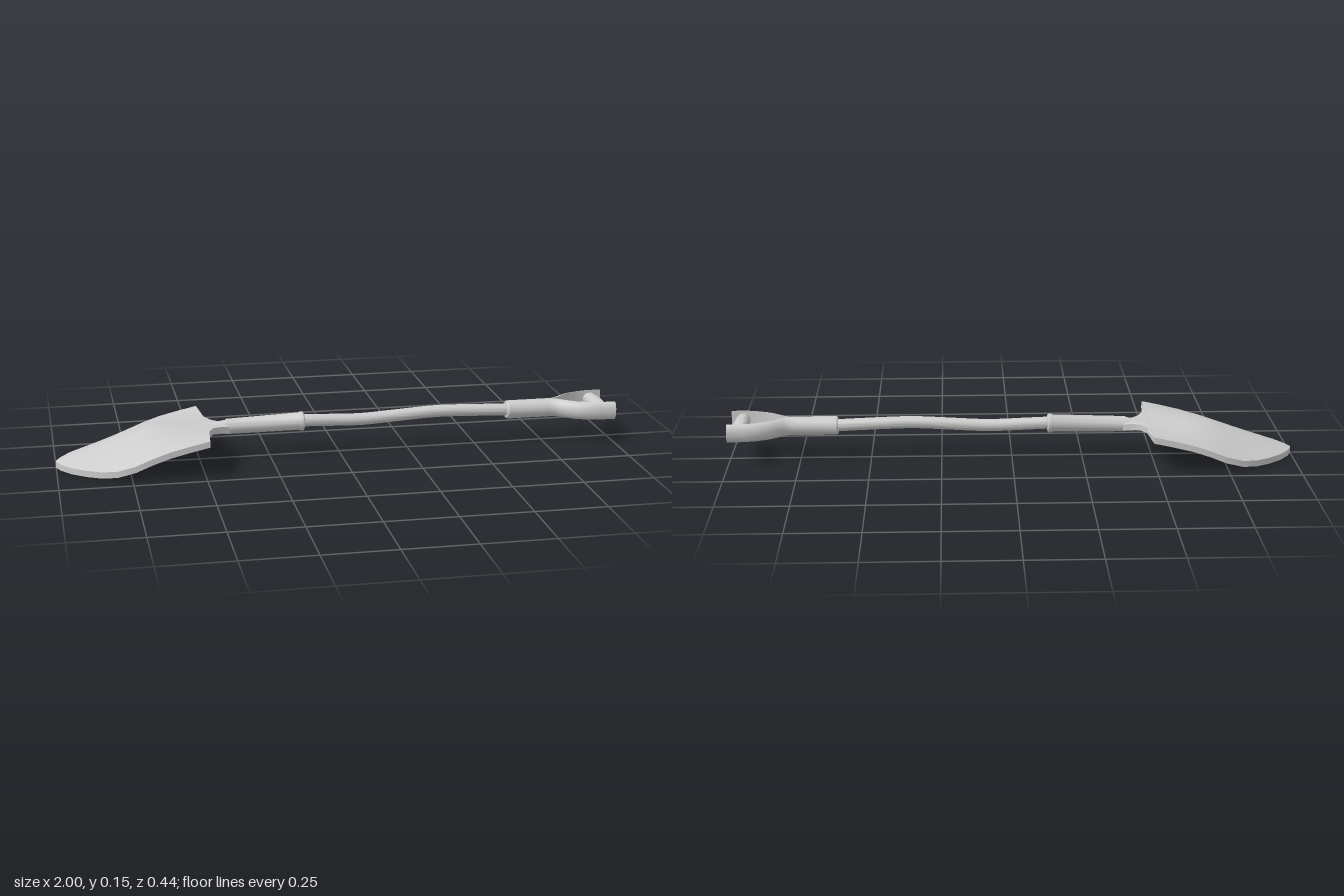
import * as THREE from 'three';
import { toCreasedNormals } from 'three/addons/utils/BufferGeometryUtils.js';

const steel = new THREE.MeshStandardMaterial({ color: 0xcccccc });
steel.name = 'light grey';

// Skin a closed, capped surface over rings of [x, y, z] ordered along +x
function loft(rings, crease = 0.6) {
  const n = rings[0].length, last = (rings.length - 1) * n, index = [];
  for (let r = 0; r < rings.length - 1; r++) {
    for (let i = 0; i < n; i++) {
      const a = r * n + i, b = r * n + (i + 1) % n;
      index.push(a, b, b + n, a, b + n, a + n);
    }
  }
  for (let i = 1; i < n - 1; i++) index.push(0, i + 1, i, last, last + i, last + i + 1);
  const g = new THREE.BufferGeometry();
  g.setAttribute('position', new THREE.Float32BufferAttribute(rings.flat(2), 3));
  g.setIndex(index);
  return toCreasedNormals(g, crease);
}

// Round bar from [x, centre height, radius] stations
function bar(stations, sides = 20) {
  return loft(stations.map(([x, y, r]) => Array.from({ length: sides }, (_, i) => {
    const a = (i / sides) * Math.PI * 2;
    return [x, y + r * Math.cos(a), r * Math.sin(a)];
  })));
}

// Arched plate from [x, half width, edge height, spine height] stations
function plate(stations, thickness, sweep = 0) {
  const steps = 16;
  return loft(stations.map(([x, w, edge, spine], row) => {
    const top = [], bottom = [];
    for (let i = 0; i <= steps; i++) {
      const t = (i / steps) * 2 - 1;
      const px = x + (row === stations.length - 1 ? sweep * (1 - Math.abs(t)) : 0);
      const y = edge + (spine - edge) * (1 - Math.abs(t) ** 1.5);
      top.push([px, y, t * w]);
      bottom.unshift([px, y - thickness, t * w]);
    }
    return [...top, ...bottom];
  }));
}

// One side of the fork: half-round section with a flat inner face
function arm(side) {
  const stations = [
    [0.76, 0, 0.033], [0.79, 0, 0.036], [0.805, 0.008, 0.043], [0.83, 0.03, 0.06],
    [0.86, 0.053, 0.08], [0.9, 0.071, 0.093], [0.94, 0.08, 0.098], [1, 0.081, 0.1],
  ];
  return loft(stations.map(([x, inner, outer]) => {
    const ring = [];
    for (let i = 0; i <= 8; i++) {
      const a = (i / 8) * Math.PI;
      ring.push([x, 0.119 + 0.033 * Math.cos(a), side * (inner + (outer - inner) * Math.sin(a))]);
    }
    return side > 0 ? ring : ring.reverse();
  }));
}

export function createModel() {
  const model = new THREE.Group();
  model.name = 'shovel';
  const add = (name, geometry) => {
    const mesh = new THREE.Mesh(geometry, steel);
    mesh.name = name;
    model.add(mesh);
    return mesh;
  };

  // Pointed blade, with a raised spine and lower edges
  add('blade', plate([
    [-1, 0.006, 0.022, 0.022], [-0.985, 0.04, 0.022, 0.027], [-0.95, 0.09, 0.023, 0.039],
    [-0.9, 0.136, 0.025, 0.056], [-0.85, 0.172, 0.028, 0.073], [-0.8, 0.198, 0.036, 0.09],
    [-0.74, 0.215, 0.055, 0.11], [-0.68, 0.218, 0.08, 0.128], [-0.62, 0.218, 0.1, 0.13],
    [-0.55, 0.218, 0.117, 0.129], [-0.485, 0.218, 0.131, 0.128],
  ], 0.022, 0.02));

  // Flared neck joining the blade to its socket
  add('neck', plate([
    [-0.48, 0.1, 0.128, 0.128], [-0.466, 0.08, 0.128, 0.128], [-0.455, 0.055, 0.127, 0.128],
    [-0.43, 0.038, 0.124, 0.128], [-0.395, 0.028, 0.12, 0.128],
  ], 0.022));

  // Tapered rib under the blade, running into the socket
  add('bladeRib', bar([
    [-0.67, 0.106, 0.003], [-0.62, 0.106, 0.012], [-0.54, 0.107, 0.018],
    [-0.46, 0.109, 0.021], [-0.39, 0.114, 0.026],
  ]));
  add('socket', bar([
    [-0.405, 0.114, 0.027], [-0.145, 0.119, 0.031], [-0.14, 0.119, 0.034],
    [-0.13, 0.119, 0.034], [-0.127, 0.119, 0.03],
  ]));

  // Gently bowed shaft
  const curve = new THREE.CatmullRomCurve3([
    [-0.16, 0.122], [-0.05, 0.118], [0.08, 0.114], [0.2, 0.12],
    [0.35, 0.128], [0.48, 0.125], [0.65, 0.118],
  ].map(([x, y]) => new THREE.Vector3(x, y, 0)));
  add('shaft', bar(curve.getPoints(20).map((p) => [p.x, p.y, 0.0215])));

  // Handle collar and forked arms
  add('handleCollar', bar([
    [0.615, 0.119, 0.029], [0.62, 0.119, 0.033], [0.785, 0.119, 0.033],
  ]));
  add('leftArm', arm(1));
  add('rightArm', arm(-1));

  // Barrel-shaped cross grip
  const profile = [[0, -0.085], [0.024, -0.085], [0.027, -0.045], [0.029, 0],
    [0.027, 0.045], [0.024, 0.085], [0, 0.085]].map(([r, h]) => new THREE.Vector2(r, h));
  const grip = add('grip', toCreasedNormals(new THREE.LatheGeometry(profile, 20), 0.6));
  grip.rotation.x = Math.PI / 2;
  grip.position.set(0.958, 0.118, 0);

  return model;
}
